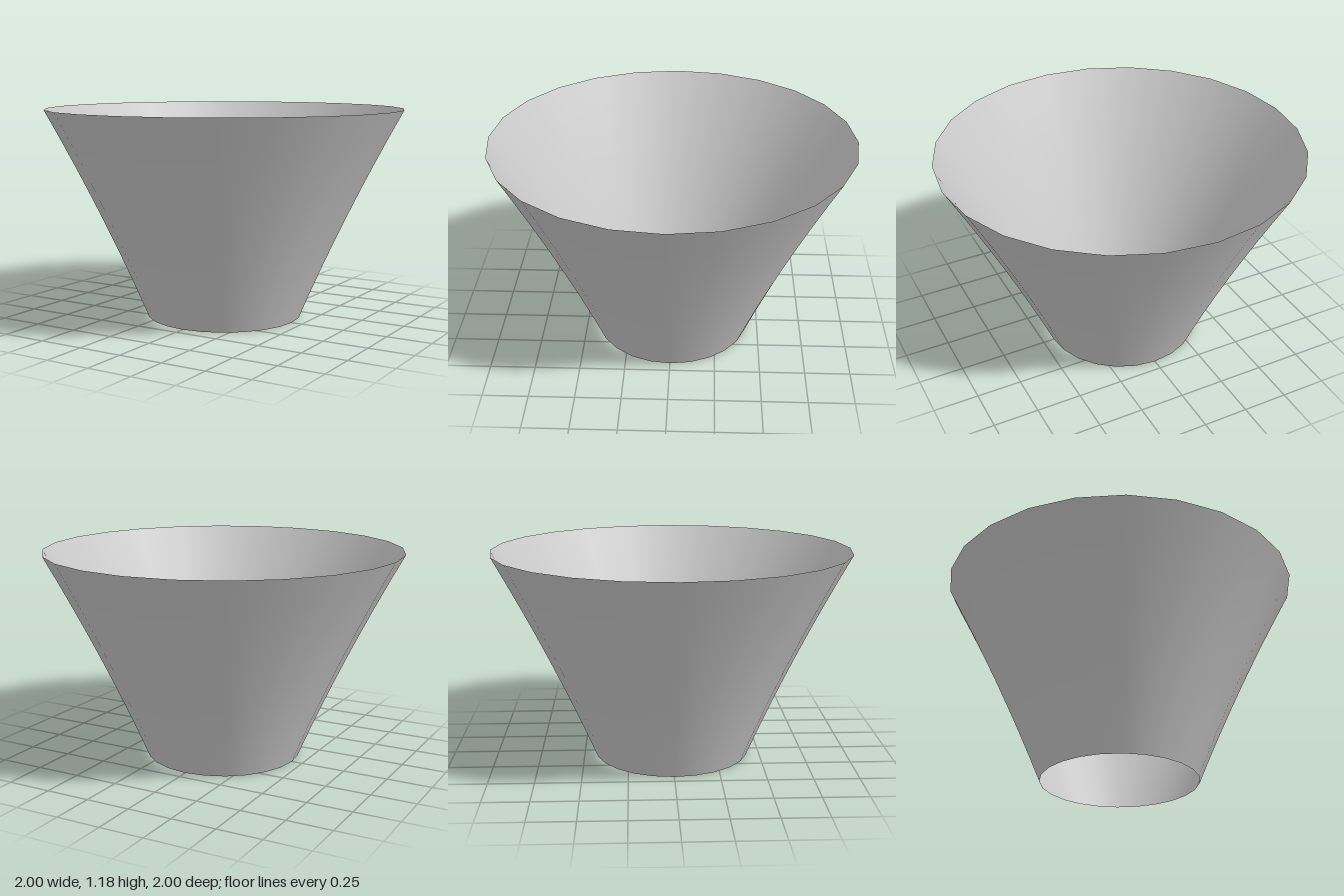
import * as THREE from 'three';

export function createModel() {
  const group = new THREE.Group();
  group.name = 'flaredShade';

  // Open wall that flares gently from the narrow foot to the wide rim
  const height = 1.177, foot = 0.437, rim = 1, bow = 0.055, rows = 8;
  const profile = [];
  for (let i = 0; i <= rows; i++) {
    const t = i / rows, y = t * height;
    const straight = THREE.MathUtils.lerp(foot, rim, t);
    profile.push(new THREE.Vector2(straight - bow * y * (height - y), y));
  }

  const wall = new THREE.Mesh(
    new THREE.LatheGeometry(profile, 24),
    new THREE.MeshStandardMaterial({ color: 0xcccccc, side: THREE.DoubleSide })
  );
  wall.name = 'wall';
  group.add(wall);
  return group;
}
